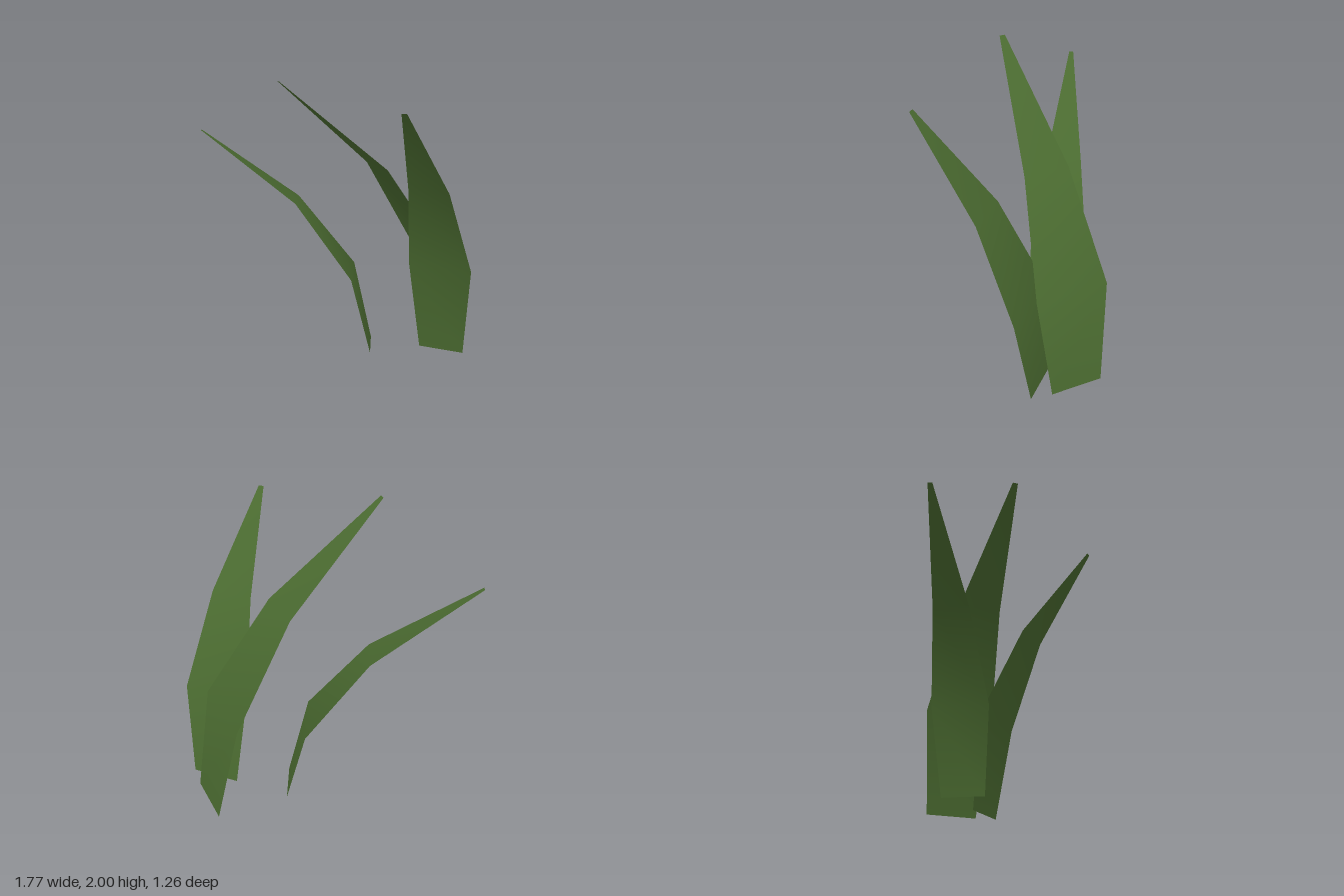
import * as THREE from 'three';

const leafGreen = new THREE.MeshStandardMaterial({ color: 0x4a6a30, side: THREE.DoubleSide });
leafGreen.name = 'leafGreen';

// A blade is a curved strip: each row, base to tip, is a front and a back edge point.
function makeBlade(name, rows) {
  const index = [];
  for (let i = 0; i < rows.length - 1; i++) {
    const a = i * 2;
    index.push(a, a + 1, a + 3, a, a + 3, a + 2);
  }
  const geometry = new THREE.BufferGeometry();
  geometry.setAttribute('position', new THREE.Float32BufferAttribute(rows.flat(2), 3));
  geometry.setIndex(index);
  geometry.computeVertexNormals();
  const mesh = new THREE.Mesh(geometry, leafGreen);
  mesh.name = name;
  return mesh;
}

export function createModel() {
  const group = new THREE.Group();
  group.name = 'grassTuft';

  // Blade leaning forward
  group.add(makeBlade('frontBlade', [
    [[0.885, 0, 0.01], [0.615, 0, -0.18]],
    [[0.875, 0.67, 0.125], [0.51, 0.67, -0.15]],
    [[0.625, 1.29, 0.31], [0.4, 1.29, 0.14]],
    [[0.228, 1.87, 0.627], [0.2, 1.87, 0.605]],
  ]));

  // Tallest blade, arching to the side
  group.add(makeBlade('tallBlade', [
    [[0.87, 0, -0.137], [0.79, 0, -0.49]],
    [[0.75, 0.725, -0.042], [0.635, 0.725, -0.525]],
    [[0.31, 1.385, -0.042], [0.24, 1.385, -0.338]],
    [[-0.418, 2, -0.012], [-0.424, 2, -0.048]],
  ]));

  // Shorter blade, arching to the side and back
  group.add(makeBlade('shortBlade', [
    [[0.225, 0, -0.14], [0.305, 0, -0.42]],
    [[0.08, 0.58, -0.137], [0.193, 0.58, -0.51]],
    [[-0.28, 1.115, -0.315], [-0.215, 1.115, -0.545]],
    [[-0.89, 1.61, -0.602], [-0.883, 1.61, -0.63]],
  ]));

  return group;
}
